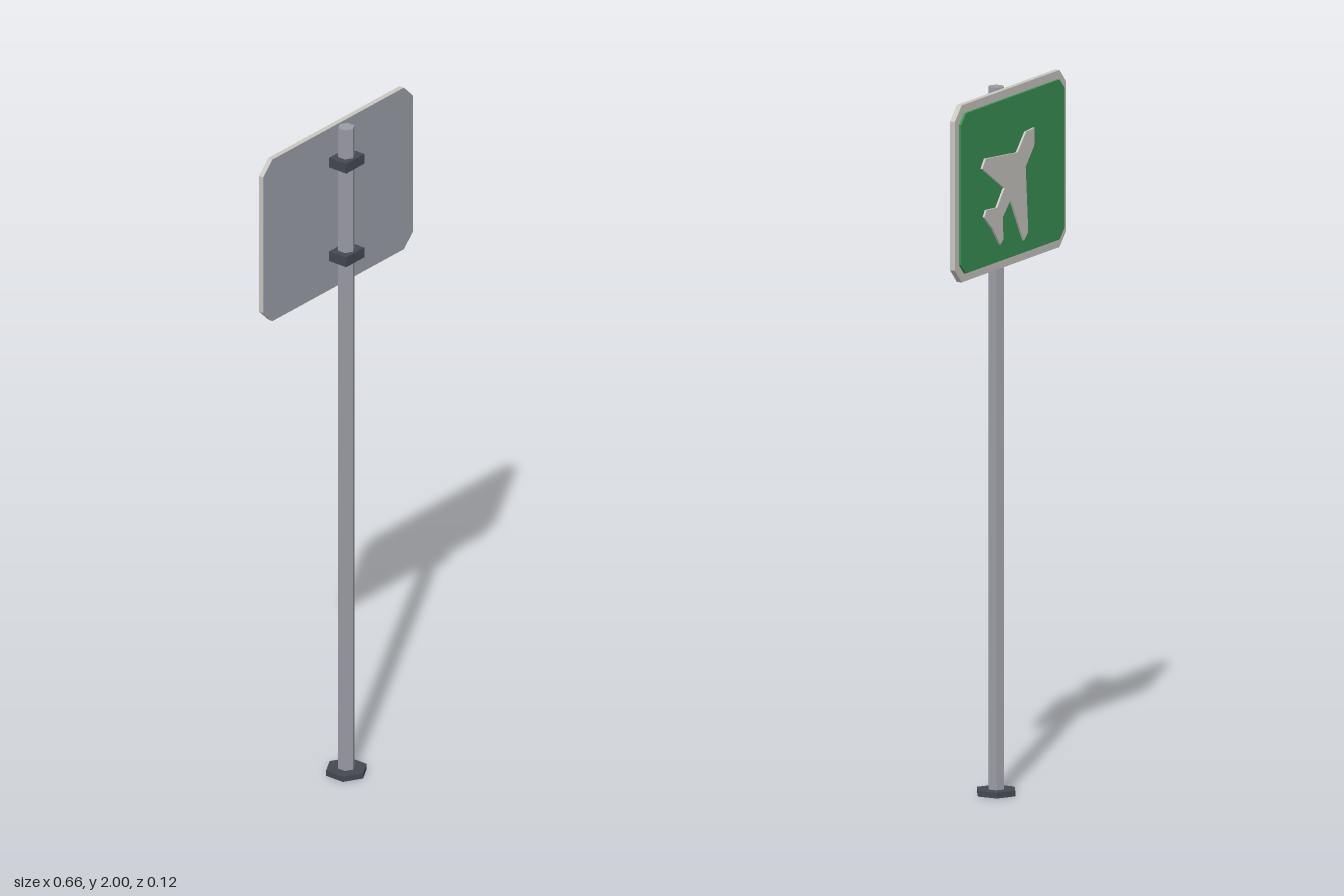
import * as THREE from 'three';

const flat = (name, color) => Object.assign(new THREE.MeshStandardMaterial({ color, flatShading: true }), { name });

// Rectangle with cut corners, centred on the origin
function cutRect(hw, hh, c) {
  return new THREE.Shape([
    [-hw + c, -hh], [hw - c, -hh], [hw, -hh + c], [hw, hh - c],
    [hw - c, hh], [-hw + c, hh], [-hw, hh - c], [-hw, -hh + c],
  ].map(([x, y]) => new THREE.Vector2(x, y)));
}

// Half outline of the airplane, mirrored across its diagonal axis
function airplaneShape() {
  const half = [
    [0.115, 0.067], [0.065, 0.017], [0.08, -0.17], [0.055, -0.19], [-0.022, -0.06],
    [-0.07, -0.103], [-0.066, -0.165], [-0.084, -0.178], [-0.116, -0.14],
  ];
  const mirrored = half.map(([u, v]) => [v, u]).reverse();
  const outline = [[0.118, 0.118], ...half, [-0.126, -0.126], ...mirrored];
  return new THREE.Shape(outline.map(([u, v]) => new THREE.Vector2(u, v)));
}

export function createModel() {
  const group = new THREE.Group();
  const steel = flat('steel grey', 0x9a9ca5);
  const dark = flat('dark metal', 0x454852);
  const white = flat('warm white', 0xc9c6c0);
  const green = flat('sign green', 0x3a8f52);

  const add = (name, geometry, material, x, y, z) => {
    const mesh = new THREE.Mesh(geometry, material);
    mesh.name = name;
    mesh.position.set(x, y, z);
    group.add(mesh);
    return mesh;
  };
  // Plate growing towards -z from its rear plane
  const addPlate = (name, shape, depth, material, z) => {
    const geometry = new THREE.ExtrudeGeometry(shape, { depth, bevelEnabled: false });
    geometry.rotateY(Math.PI);
    add(name, geometry, material, 0, 1.75, z);
  };

  // Post and foot
  add('pole', new THREE.CylinderGeometry(0.024, 0.024, 1.99, 6), steel, 0, 1.005, 0);
  add('base', new THREE.CylinderGeometry(0.06, 0.06, 0.016, 6), dark, 0, 0.008, 0);

  // Clamps holding the sign
  for (const [name, y] of [['upperClamp', 1.895], ['lowerClamp', 1.605]]) {
    add(name, new THREE.BoxGeometry(0.08, 0.03, 0.061), dark, 0, y, 0.0015);
  }

  // Sign board, its bare rear face, the coloured panel and the symbol
  addPlate('signBoard', cutRect(0.328, 0.25, 0.04), 0.015, white, -0.03);
  add('signBack', new THREE.ShapeGeometry(cutRect(0.328, 0.25, 0.04)), steel, 0, 1.75, -0.029);
  addPlate('signPanel', cutRect(0.304, 0.226, 0.028), 0.007, green, -0.045);
  addPlate('airplaneSymbol', airplaneShape(), 0.006, white, -0.052);

  return group;
}
